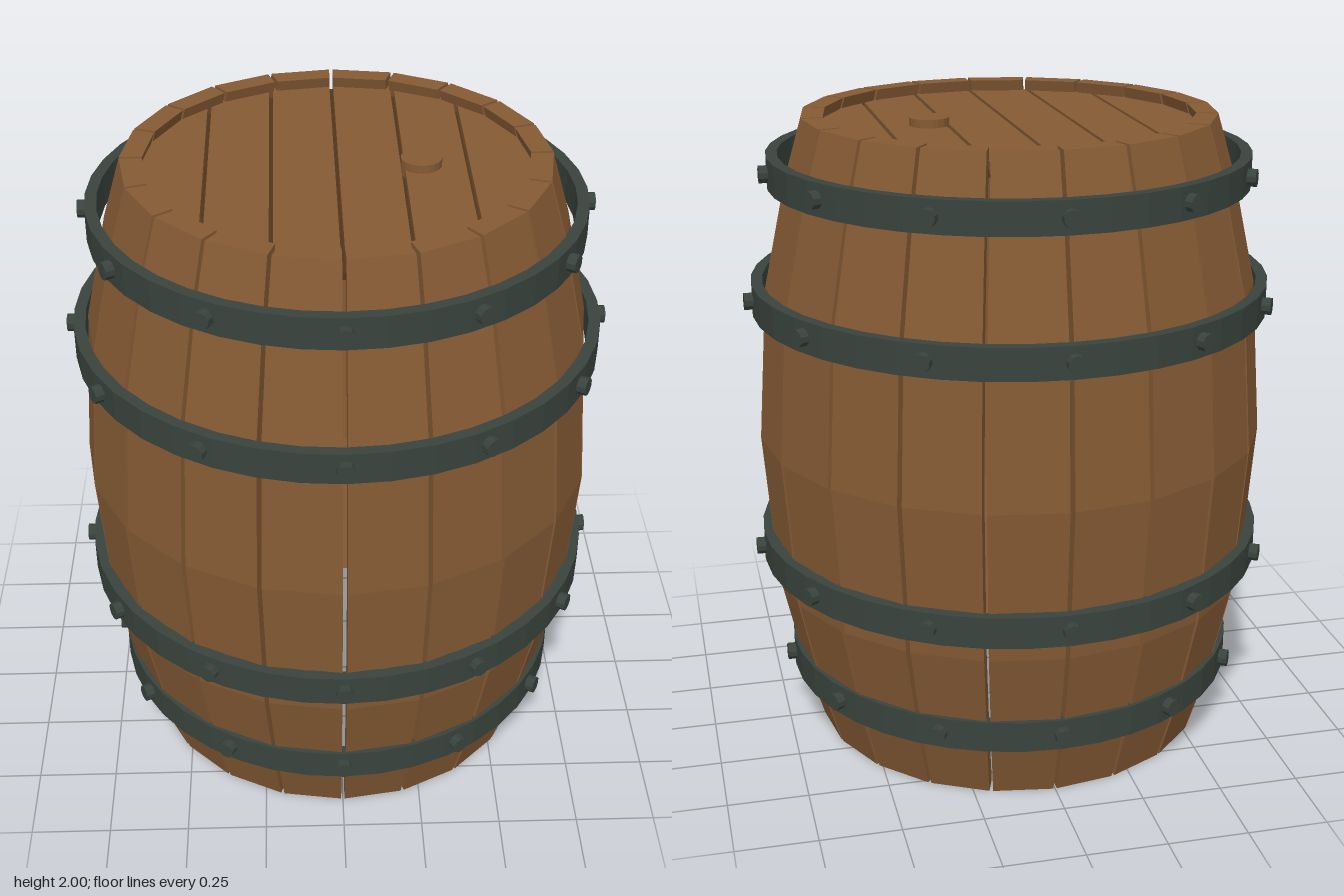
import * as THREE from 'three';

const wood = new THREE.MeshStandardMaterial({ name: 'wood', color: 0x855a34, flatShading: true });
const darkWood = new THREE.MeshStandardMaterial({ name: 'darkWood', color: 0x50351d, flatShading: true });
const iron = new THREE.MeshStandardMaterial({ name: 'iron', color: 0x39433d, flatShading: true });

const STAVES = 20, WALL = 0.067, GAP = 0.018;

// Outer radius and height of the bulging wall
const PROFILE = [
  [0.635, 0], [0.692, 0.19], [0.765, 0.52], [0.8, 1], [0.765, 1.48], [0.692, 1.81], [0.635, 2],
];

function add(parent, name, geometry, material) {
  const mesh = new THREE.Mesh(geometry, material);
  mesh.name = name;
  parent.add(mesh);
  return mesh;
}

// One plank of the wall: four-cornered sections stacked along the profile
function staveGeometry() {
  const half = Math.PI / STAVES - GAP / 2;
  const positions = [], index = [];
  for (const [r, y] of PROFILE) {
    for (const [rad, a] of [[r, -half], [r, half], [r - WALL, half], [r - WALL, -half]]) {
      positions.push(rad * Math.sin(a), y, rad * Math.cos(a));
    }
  }
  const quad = (a, b, c, d) => index.push(a, b, c, a, c, d);
  for (let i = 0; i < PROFILE.length - 1; i++) {
    for (let k = 0; k < 4; k++) {
      const n = (k + 1) % 4;
      quad(i * 4 + k, i * 4 + n, i * 4 + 4 + n, i * 4 + 4 + k);
    }
  }
  const top = (PROFILE.length - 1) * 4;
  quad(3, 2, 1, 0);
  quad(top, top + 1, top + 2, top + 3);
  const g = new THREE.BufferGeometry();
  g.setAttribute('position', new THREE.Float32BufferAttribute(positions, 3));
  g.setIndex(index);
  const flat = g.toNonIndexed();
  flat.computeVertexNormals();
  return flat;
}

// Lid board between two x positions, cut to the circle of the lid
function boardGeometry(x0, x1, radius, depth) {
  const points = [], steps = 8;
  const edge = (x) => Math.sqrt(Math.max(0, radius * radius - x * x));
  for (let i = 0; i <= steps; i++) {
    const x = x0 + (x1 - x0) * i / steps;
    points.push(new THREE.Vector2(x, -edge(x)));
  }
  for (let i = steps; i >= 0; i--) {
    const x = x0 + (x1 - x0) * i / steps;
    if (edge(x) > 0.001) points.push(new THREE.Vector2(x, edge(x)));
  }
  const g = new THREE.ExtrudeGeometry(new THREE.Shape(points), { depth, bevelEnabled: false });
  return g.rotateX(-Math.PI / 2);
}

function createHoop(name, y, radius) {
  const hoop = new THREE.Group();
  hoop.name = name;
  hoop.position.y = y;
  const inner = radius - 0.035, h = 0.049;
  const section = [[inner, -h], [radius, -h], [radius, h], [inner, h], [inner, -h]];
  add(hoop, 'band', new THREE.LatheGeometry(section.map(([r, v]) => new THREE.Vector2(r, v)), 40), iron);
  // Twelve rivets around the band
  const rivet = new THREE.CylinderGeometry(0.027, 0.027, 0.05, 10).rotateX(Math.PI / 2);
  for (let i = 0; i < 12; i++) {
    const a = i * Math.PI / 6;
    const mesh = add(hoop, 'rivet', rivet, iron);
    mesh.position.set(Math.sin(a) * radius, 0, Math.cos(a) * radius);
    mesh.rotation.y = a;
  }
  return hoop;
}

export function createModel() {
  const barrel = new THREE.Group();
  barrel.name = 'barrel';

  // Wall
  const staves = new THREE.Group();
  staves.name = 'staves';
  const stave = staveGeometry();
  for (let i = 0; i < STAVES; i++) {
    add(staves, 'stave', stave, wood).rotation.y = (i + 0.5) * Math.PI * 2 / STAVES;
  }
  barrel.add(staves);

  // Lid: boards over a dark backing that shows in the grooves
  const lid = new THREE.Group();
  lid.name = 'lid';
  const backing = add(lid, 'lidBacking', new THREE.CylinderGeometry(0.6, 0.6, 0.02, 40), darkWood);
  backing.position.y = 1.93;
  const seams = [-0.605, -0.385, -0.193, 0, 0.193, 0.385, 0.605];
  for (let i = 0; i < 6; i++) {
    const x0 = seams[i] + (i > 0 ? 0.006 : 0);
    const x1 = seams[i + 1] - (i < 5 ? 0.006 : 0);
    add(lid, 'lidBoard', boardGeometry(x0, x1, 0.605, 0.035), wood).position.y = 1.93;
  }
  const bung = add(lid, 'bung', new THREE.CylinderGeometry(0.061, 0.061, 0.05, 20), wood);
  bung.position.set(0.248, 1.965, 0);
  barrel.add(lid);

  // Iron hoops
  barrel.add(createHoop('bottomHoop', 0.242, 0.724));
  barrel.add(createHoop('lowerHoop', 0.632, 0.806));
  barrel.add(createHoop('upperHoop', 1.448, 0.806));
  barrel.add(createHoop('topHoop', 1.838, 0.743));

  return barrel;
}
